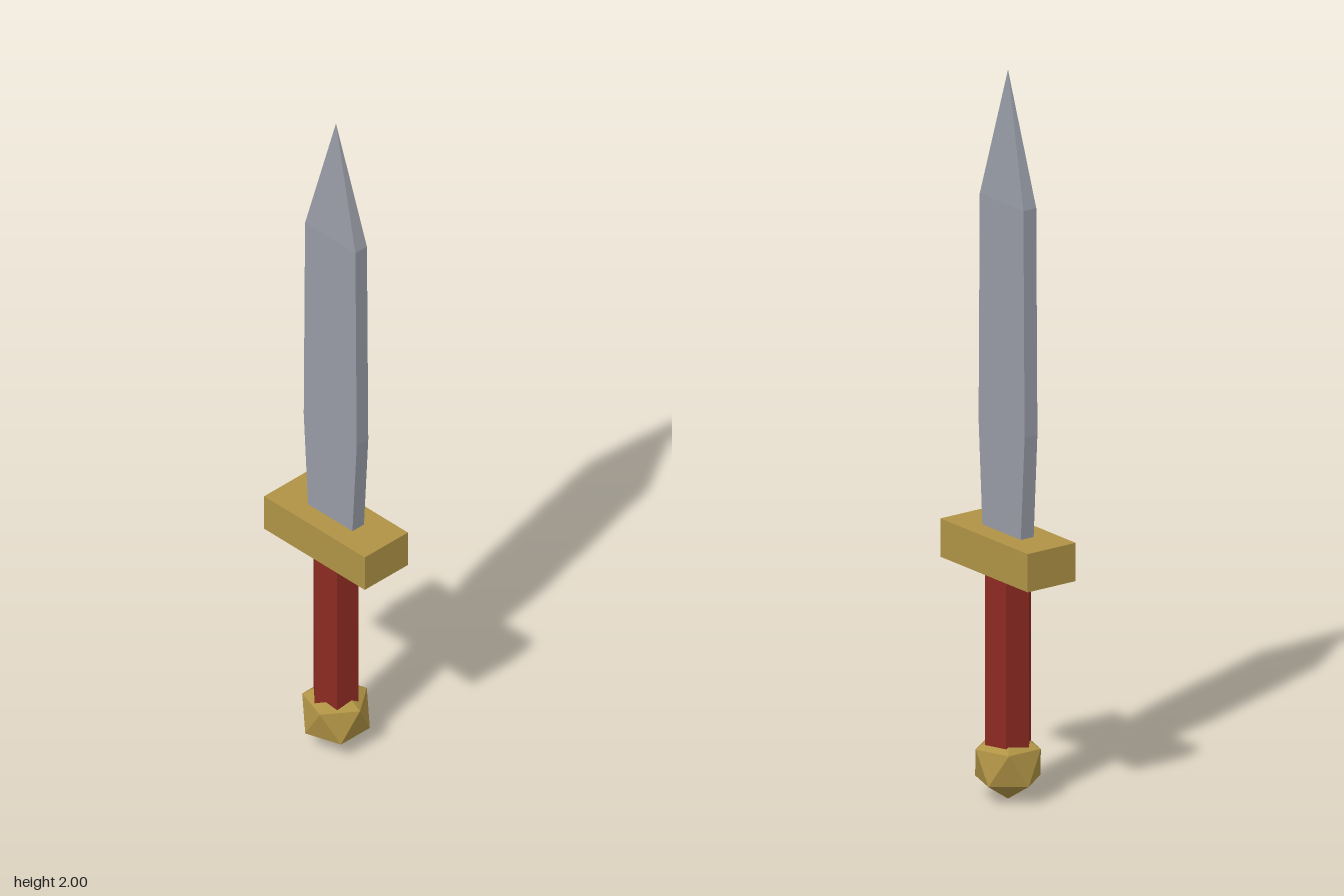
import * as THREE from 'three';

const material = (name, color) => {
  const m = new THREE.MeshStandardMaterial({ color, flatShading: true });
  m.name = name;
  return m;
};

export function createModel() {
  const model = new THREE.Group();
  model.name = 'dagger';
  const steel = material('steel', 0x989ca6);
  const brass = material('brass', 0xb09345);
  const leather = material('redLeather', 0x8c2a21);

  const add = (name, geometry, mat, y) => {
    const mesh = new THREE.Mesh(geometry, mat);
    mesh.name = name;
    mesh.position.y = y;
    model.add(mesh);
    return mesh;
  };

  // Blade: box with stacked rings of [height, half width, half depth]
  const rings = [
    [0.72, 0.082, 0.021],
    [1.02, 0.099, 0.021],
    [1.64, 0.094, 0.021],
    [2.0, 0, 0],
  ];
  const steps = rings.length - 1;
  const blade = new THREE.BoxGeometry(2, steps, 2, 1, steps, 1);
  const p = blade.attributes.position;
  for (let i = 0; i < p.count; i++) {
    const [y, w, d] = rings[Math.round(p.getY(i) + steps / 2)];
    p.setXYZ(i, p.getX(i) * w, y, p.getZ(i) * d);
  }
  blade.computeVertexNormals();
  add('blade', blade, steel, 0);

  // Crossguard
  add('crossguard', new THREE.BoxGeometry(0.376, 0.105, 0.157), brass, 0.6825);

  // Six-sided grip, turned slightly about its axis
  const grip = add('grip', new THREE.CylinderGeometry(0.066, 0.066, 0.53, 6), leather, 0.375);
  grip.rotation.y = THREE.MathUtils.degToRad(18.5 + 30);
  // Cylinder corners start on +z, so a corner lands 18.5 degrees off the x axis

  // Faceted pommel standing on one corner
  const pommel = add('pommel', new THREE.IcosahedronGeometry(0.1, 0), brass, 0.1);
  pommel.rotation.z = -Math.atan(2 / (1 + Math.sqrt(5)));

  return model;
}
